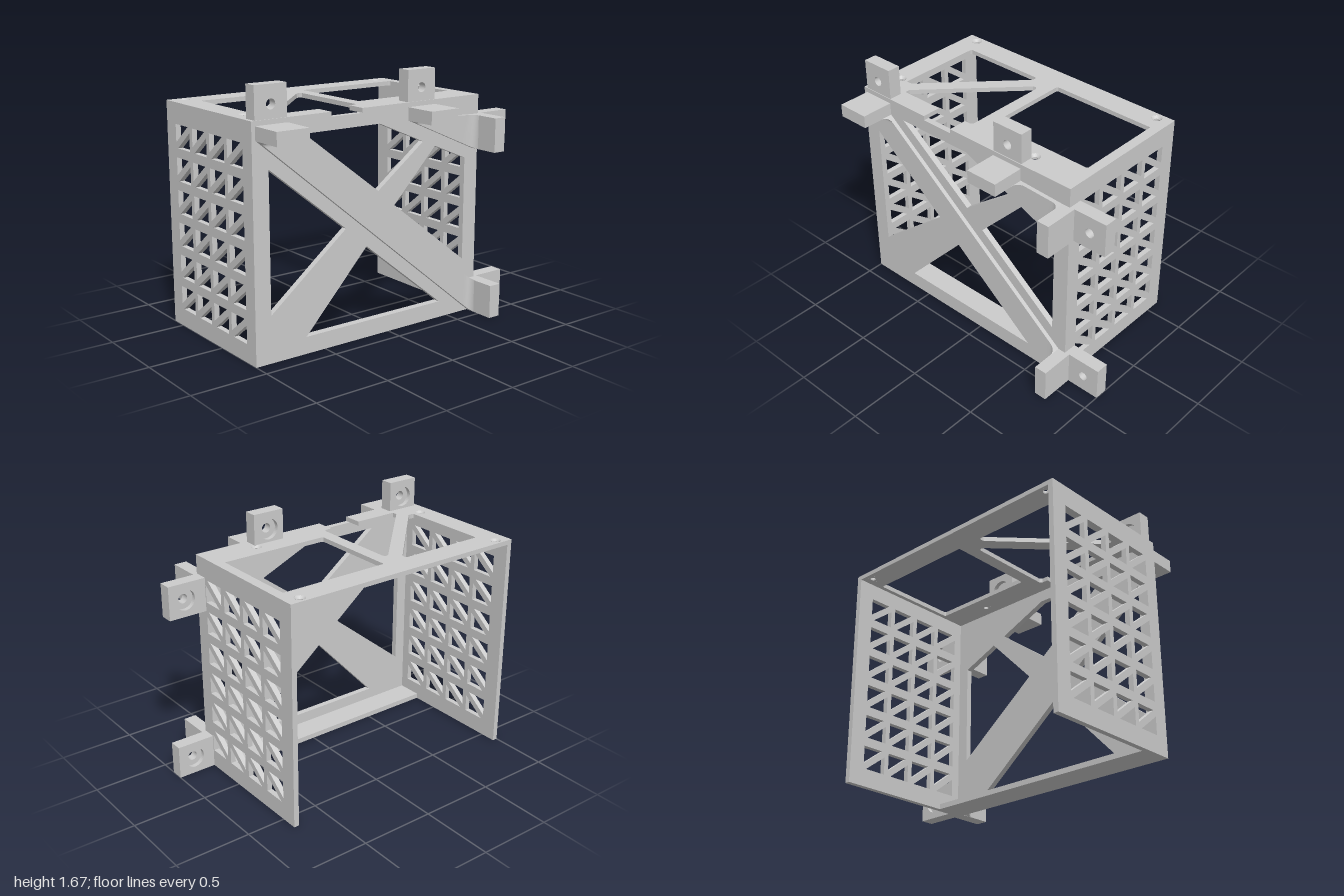
import * as THREE from 'three';

const material = new THREE.MeshStandardMaterial({ color: 0xcccccc, side: THREE.DoubleSide });

// Closed polygon with optionally rounded corners
function poly(points, r = 0, Type = THREE.Path) {
  const path = new Type();
  const pts = points.map(([x, y]) => new THREE.Vector2(x, y));
  pts.forEach((p, i) => {
    const prev = pts[(i + pts.length - 1) % pts.length];
    const next = pts[(i + 1) % pts.length];
    const a = p.clone().add(prev.clone().sub(p).setLength(r));
    const b = p.clone().add(next.clone().sub(p).setLength(r));
    if (i === 0) path.moveTo(a.x, a.y);
    else path.lineTo(a.x, a.y);
    if (r > 0) path.quadraticCurveTo(p.x, p.y, b.x, b.y);
  });
  path.closePath();
  return path;
}

const rect = (x0, y0, x1, y1) => [[x0, y0], [x1, y0], [x1, y1], [x0, y1]];
const circle = (x, y, r) => new THREE.Path().absarc(x, y, r, 0, Math.PI * 2, true);

// Flat plate with holes, lying in XY and growing towards +z
function plate(outline, holes, depth) {
  const shape = poly(outline, 0, THREE.Shape);
  shape.holes.push(...holes);
  return new THREE.ExtrudeGeometry(shape, { depth, bevelEnabled: false, curveSegments: 20 });
}

export function createModel() {
  const group = new THREE.Group();
  const add = (name, geometry) => {
    const mesh = new THREE.Mesh(geometry, material);
    mesh.name = name;
    group.add(mesh);
    return mesh;
  };
  const block = (name, x0, x1, y0, y1, z0, z1) =>
    add(name, new THREE.BoxGeometry(x1 - x0, y1 - y0, z1 - z0))
      .position.set((x0 + x1) / 2, (y0 + y1) / 2, (z0 + z1) / 2);

  // Side walls: grid of windows, each split by a diagonal bar
  const windows = [];
  for (let row = 0; row < 6; row++) {
    for (let col = 0; col < 4; col++) {
      const z1 = 0.29 - col * 0.206, z0 = z1 - 0.172;
      const y0 = 0.118 + row * 0.2125, y1 = y0 + 0.152;
      windows.push(poly([[z1 - 0.022, y1], [z0, y1], [z0, y0 + 0.035]]));
      windows.push(poly([[z1, y1 - 0.035], [z1, y0], [z0 + 0.022, y0]]));
    }
  }
  for (const [name, x] of [['rightWall', -0.965], ['leftWall', 0.74]]) {
    add(name, plate(rect(-0.61, 0, 0.39, 1.44), windows, 0.035).rotateY(-Math.PI / 2).translate(x, 0, 0));
  }

  // Front panel: crossed bars left between four openings
  add('frontPanel', plate(rect(-1, 0, 0.74, 1.44), [
    poly([[-0.89, 1.18], [-0.34, 0.74], [-0.89, 0.3]]),
    poly([[-0.64, 1.36], [-0.08, 1.36], [0.27, 1.21], [-0.09, 0.94]]),
    poly([[0.37, 1.17], [0.63, 1.06], [0.63, 0.37], [0.04, 0.83]]),
    poly([[-0.18, 0.6], [0.43, 0.11], [-0.64, 0.11]]),
  ], 0.04)).position.z = 0.35;

  // Ledge along the bottom, behind the front panel
  block('bottomLedge', -0.97, 0.71, 0, 0.035, 0.18, 0.36);

  // Top plate; the front opening runs out through a notch in the front edge
  const screws = [[-0.905, -0.56], [0.64, -0.56], [-0.905, 0.155], [0.37, 0.27]];
  const topOutline = [
    [-1, -0.61], [0.74, -0.61], [0.74, 0.39], [-0.215, 0.39], [-0.215, 0.26], [-0.17, 0.26],
    [-0.155, 0.245], [-0.155, -0.335], [-0.17, -0.35], [-0.19, -0.345], [-0.75, 0.225],
    [-0.75, 0.26], [-0.445, 0.26], [-0.445, 0.39], [-1, 0.39],
  ];
  add('topPlate', plate(topOutline, [
    poly(rect(-0.07, -0.445, 0.675, 0.16), 0.015),
    poly([[-0.845, -0.445], [-0.25, -0.445], [-0.25, -0.41], [-0.805, 0.16], [-0.845, 0.16]], 0.015),
    ...screws.map(([x, z]) => circle(x, z, 0.035)),
  ], 0.03).rotateX(Math.PI / 2).translate(0, 1.47, 0));

  // Countersunk screw holes
  const sink = [[0.035, -0.03], [0.018, -0.03], [0.018, -0.015], [0.035, 0]]
    .map(([x, y]) => new THREE.Vector2(x, y));
  for (const [x, z] of screws) {
    const geometry = new THREE.LatheGeometry(sink, 20).toNonIndexed();
    geometry.computeVertexNormals();
    add('screwHole', geometry).position.set(x, 1.47, z);
  }

  // Mounting tab with a bolt hole, counterbored at the back
  function tab(x0, y0, x1, y1, hx, hy) {
    const outline = rect(x0, y0, x1, y1);
    add('tabFront', plate(outline, [circle(hx, hy, 0.031)], 0.058)).position.z = 0.327;
    add('tabBack', plate(outline, [circle(hx, hy, 0.068)], 0.03)).position.z = 0.297;
  }
  for (const x of [-0.975, 0.145]) {
    tab(x, 1.44, x + 0.22, 1.67, x + 0.11, 1.555);
    block('topBracketFoot', x, x + 0.22, 1.355, 1.44, 0.36, 0.61);
  }
  for (const y of [0, 1.12]) {
    tab(0.73, y, 1, y + 0.223, 0.885, y + 0.111);
    block('sideBracketFoot', 0.685, 0.77, y, y + 0.223, 0.36, 0.61);
  }

  // Raised strap between two brackets, its ends curving out to meet the feet
  function strap(name, p0, p1, q0, q1) {
    const geometry = new THREE.BoxGeometry(1, 1, 1, 64, 1, 1);
    const pos = geometry.attributes.position;
    const r = 0.055;
    for (let i = 0; i < pos.count; i++) {
      const t = 0.5 - 0.5 * Math.cos((pos.getX(i) + 0.5) * Math.PI);
      const [a, b] = pos.getY(i) < 0 ? [p0, p1] : [q0, q1];
      const length = Math.hypot(b[0] - a[0], b[1] - a[1]);
      const d = Math.min(r, Math.min(t, 1 - t) * length);
      const flare = r - Math.sqrt(Math.max(0, r * r - (r - d) ** 2));
      const z = pos.getZ(i) > 0 ? 0.417 + flare : 0.38;
      pos.setXYZ(i, a[0] + (b[0] - a[0]) * t, a[1] + (b[1] - a[1]) * t, z);
    }
    geometry.computeVertexNormals();
    add(name, geometry);
  }
  strap('diagonalStrap', [-0.975, 1.357], [0.687, 0], [-0.755, 1.357], [0.687, 0.223]);
  strap('cornerStrap', [0.145, 1.357], [0.687, 1.12], [0.365, 1.357], [0.687, 1.343]);

  return group;
}
